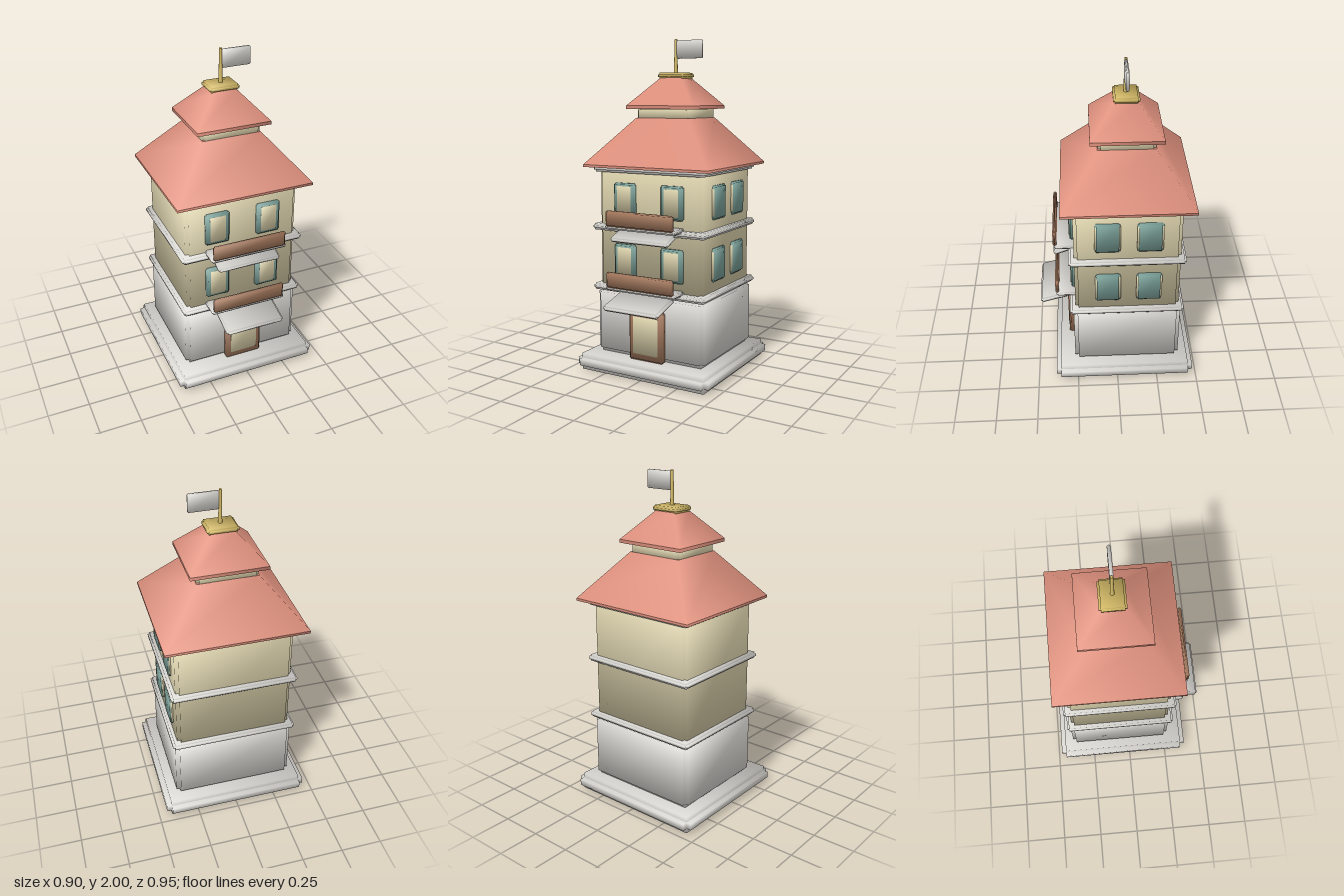
import * as THREE from 'three';
import { mergeGeometries } from 'three/addons/utils/BufferGeometryUtils.js';

const mat = (name, color) => {
  const m = new THREE.MeshStandardMaterial({ color });
  m.name = name;
  return m;
};

// Box whose normals all lean out to the corners, for soft shading
function softBox(w, h, d) {
  const g = new THREE.BoxGeometry(w, h, d);
  const p = g.attributes.position, n = g.attributes.normal, k = 1 / Math.sqrt(3);
  for (let i = 0; i < p.count; i++) {
    n.setXYZ(i, Math.sign(p.getX(i)) * k, Math.sign(p.getY(i)) * k, Math.sign(p.getZ(i)) * k);
  }
  return g;
}

// Block with stepped edges of size r
function blockGeometry(w, h, d, r) {
  const s = 2 * r;
  return mergeGeometries([
    softBox(w, h - s, d - s),
    softBox(w - s, h, d - s),
    softBox(w - s, h - s, d),
  ]);
}

// Square frustum, smooth around its corners
function frustumGeometry(x0, z0, x1, h) {
  const g = new THREE.CylinderGeometry(x1 * Math.SQRT2, x0 * Math.SQRT2, h, 4, 1, false, Math.PI / 4);
  g.scale(1, 1, z0 / x0);
  return g;
}

export function createModel() {
  const model = new THREE.Group();
  model.name = 'tower';
  const stone = mat('pale stone', 0xdcdad5);
  const cream = mat('cream plaster', 0xdcd2ac);
  const tile = mat('roof tile', 0xdf917e);
  const wood = mat('brown wood', 0xa5795d);
  const teal = mat('teal frame', 0x7ca29a);
  const gold = mat('gold', 0xd6bc68);
  const CZ = -0.062; // tower axis

  const add = (name, geometry, material, x, y, z) => {
    const m = new THREE.Mesh(geometry, material);
    m.name = name;
    m.position.set(x, y, z);
    model.add(m);
    return m;
  };
  // Block given by its minimum and maximum corners
  const block = (name, material, r, [x0, x1], [y0, y1], [z0, z1]) =>
    add(name, blockGeometry(x1 - x0, y1 - y0, z1 - z0, r), material,
      (x0 + x1) / 2, (y0 + y1) / 2, (z0 + z1) / 2);

  // Base, ground floor and upper walls
  block('base', stone, 0.03, [-0.45, 0.45], [0, 0.1], [-0.477, 0.387]);
  block('groundFloor', stone, 0.024, [-0.367, 0.367], [0.1, 0.5], [-0.389, 0.266]);
  block('upperWalls', cream, 0.02, [-0.35, 0.35], [0.5, 1.25], [-0.376, 0.254]);

  // Cornice bands
  for (const y of [0.512, 0.882, 1.234]) {
    const s = y > 1 ? 0.006 : 0;
    block('corniceBand', stone, 0.012, [-0.382 + s, 0.382 - s],
      [y - 0.019, y + 0.019], [-0.406 + s, 0.288 - s]);
  }

  // Two-tier roof
  add('lowerRoofEave', frustumGeometry(0.418, 0.384, 0.418, 0.015), tile, 0, 1.251, CZ);
  add('lowerRoof', frustumGeometry(0.418, 0.384, 0.18, 0.275), tile, 0, 1.396, CZ);
  block('roofNeck', cream, 0.016, [-0.18, 0.18], [1.5, 1.6], [-0.226, 0.102]);
  add('upperRoofEave', frustumGeometry(0.225, 0.207, 0.225, 0.02), tile, 0, 1.597, CZ);
  add('upperRoof', frustumGeometry(0.225, 0.207, 0.07, 0.165), tile, 0, 1.689, CZ);

  // Cap, pole and flag
  block('roofCap', gold, 0.011, [-0.09, 0.09], [1.766, 1.802], [-0.138, 0.01]);
  add('flagPole', new THREE.CylinderGeometry(0.008, 0.012, 0.2, 12), gold, 0, 1.9, CZ);
  block('flag', stone, 0.005, [0.008, 0.182], [1.885, 1.993], [CZ - 0.01, CZ + 0.01]);

  // Door
  block('doorFrame', wood, 0.008, [-0.115, 0.115], [0.1, 0.405], [0.255, 0.3]);
  block('doorPanel', cream, 0.002, [-0.085, 0.085], [0.14, 0.368], [0.296, 0.304]);

  for (const y of [0.59, 0.957]) {
    // Front windows
    for (const x of [-0.16, 0.16]) {
      block('frontWindowFrame', teal, 0.008, [x - 0.073, x + 0.073], [y, y + 0.198], [0.24, 0.276]);
      block('frontWindowPane', cream, 0.002, [x - 0.048, x + 0.048], [y + 0.02, y + 0.18], [0.272, 0.28]);
    }
    // Left side windows, with a pale reveal at their edges
    for (const z of [0.056, -0.191]) {
      block('sideWindowFrame', teal, 0.008, [0.335, 0.367], [y, y + 0.198], [z - 0.074, z + 0.074]);
      block('sideWindowReveal', cream, 0.002, [0.342, 0.36], [y + 0.02, y + 0.18], [z - 0.077, z + 0.077]);
    }
  }

  // Balconies
  for (const y of [0.522, 0.889]) {
    block('balconyFloor', stone, 0.008, [-0.235, 0.235], [y, y + 0.026], [0.24, 0.37]);
    block('balconyRail', wood, 0.007, [-0.226, 0.226], [y + 0.018, y + 0.112], [0.354, 0.376]);
  }

  // Sloping awnings
  const lower = add('doorAwning', blockGeometry(0.37, 0.036, 0.205, 0.012), stone, 0, 0.466, 0.374);
  lower.rotation.x = 0.27;
  const upper = add('balconyAwning', blockGeometry(0.39, 0.032, 0.105, 0.01), stone, 0, 0.846, 0.325);
  upper.rotation.x = 0.36;

  return model;
}
